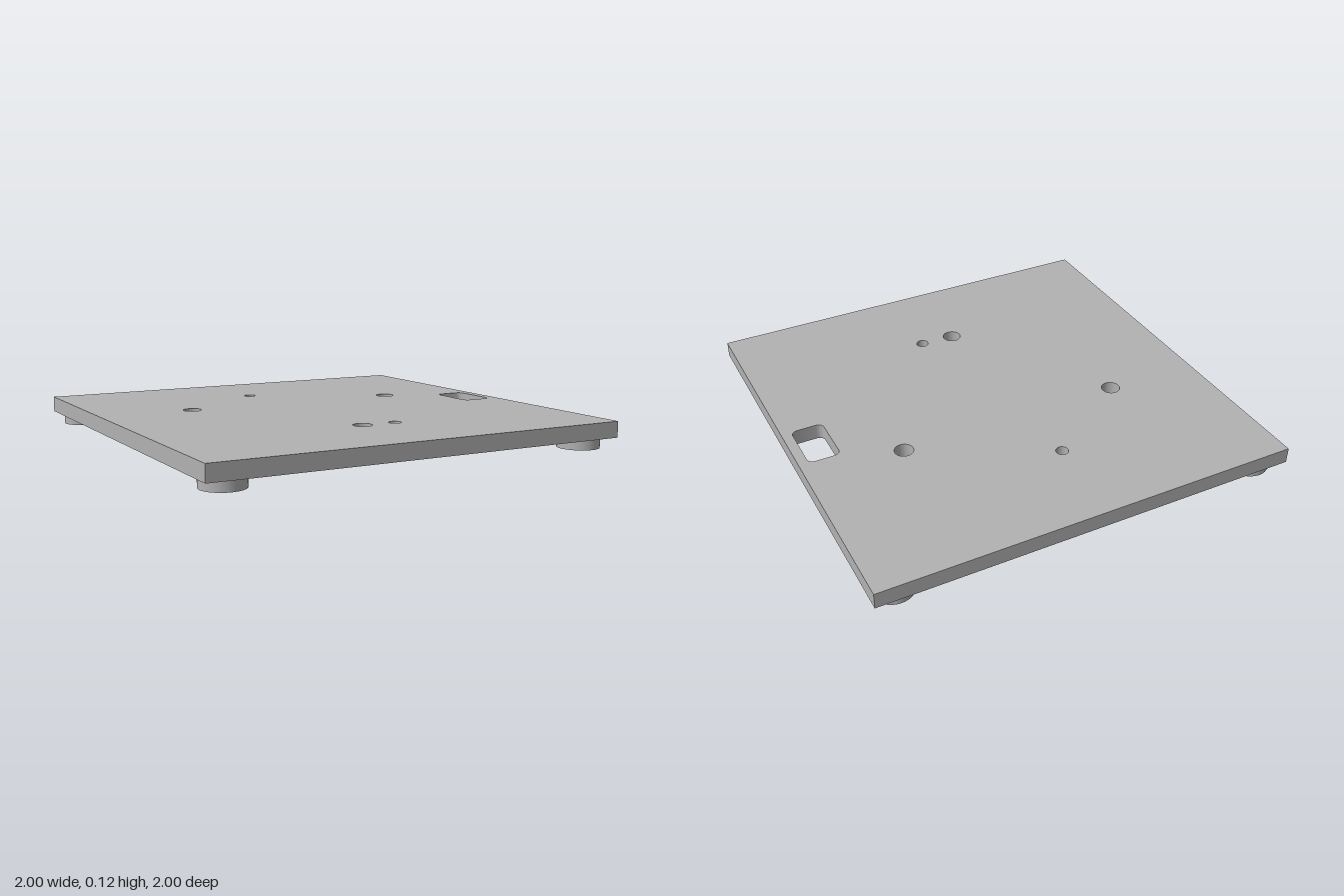
import * as THREE from 'three';
import { toCreasedNormals } from 'three/addons/utils/BufferGeometryUtils.js';

const PLATE_TOP = 0.125;
const PLATE_BOTTOM = 0.05;

// Circular path in plan (x, z)
function circle(PathType, x, z, r) {
  return new PathType().absarc(x, z, r, 0, Math.PI * 2, false);
}

// Rounded rectangular cutout in plan
function roundedSlot(x0, z0, x1, z1, r) {
  const p = new THREE.Path();
  p.absarc(x1 - r, z0 + r, r, -Math.PI / 2, 0, false);
  p.absarc(x1 - r, z1 - r, r, 0, Math.PI / 2, false);
  p.absarc(x0 + r, z1 - r, r, Math.PI / 2, Math.PI, false);
  p.absarc(x0 + r, z0 + r, r, Math.PI, Math.PI * 1.5, false);
  p.closePath();
  return p;
}

// Extrude a plan shape straight down from the given top height
function slab(shape, top, bottom) {
  const g = new THREE.ExtrudeGeometry(shape, {
    depth: top - bottom, bevelEnabled: false, curveSegments: 24,
  });
  g.rotateX(Math.PI / 2);
  g.translate(0, top, 0);
  return toCreasedNormals(g, 0.6);
}

export function createModel() {
  const model = new THREE.Group();
  model.name = 'basePlate';
  const grey = new THREE.MeshStandardMaterial({ color: 0xb2b2b2 });
  grey.name = 'grey';

  // Square plate with mounting holes and a handle slot
  const plan = new THREE.Shape([[-1, -1], [1, -1], [1, 1], [-1, 1]]
    .map(([x, z]) => new THREE.Vector2(x, z)));
  const holes = [
    [-0.543, -0.23, 0.044], [0.543, -0.23, 0.044], [-0.057, 0.54, 0.044],
    [-0.087, -0.553, 0.029], [0.107, 0.545, 0.029],
  ];
  for (const [x, z, r] of holes) plan.holes.push(circle(THREE.Path, x, z, r));
  plan.holes.push(roundedSlot(0.803, -0.125, 0.953, 0.125, 0.03));
  const plate = new THREE.Mesh(slab(plan, PLATE_TOP, PLATE_BOTTOM), grey);
  plate.name = 'plate';
  model.add(plate);

  // Round feet with a screw hole, one near each corner
  const ring = circle(THREE.Shape, 0, 0, 0.097);
  ring.holes.push(circle(THREE.Path, 0, 0, 0.023));
  const footGeometry = slab(ring, PLATE_BOTTOM, 0);
  for (const [side, sx] of [['left', 1], ['right', -1]]) {
    for (const [end, sz] of [['Front', 1], ['Back', -1]]) {
      const foot = new THREE.Mesh(footGeometry, grey);
      foot.name = `${side}${end}Foot`;
      foot.position.set(sx * 0.878, 0, sz * 0.878);
      model.add(foot);
    }
  }
  return model;
}
